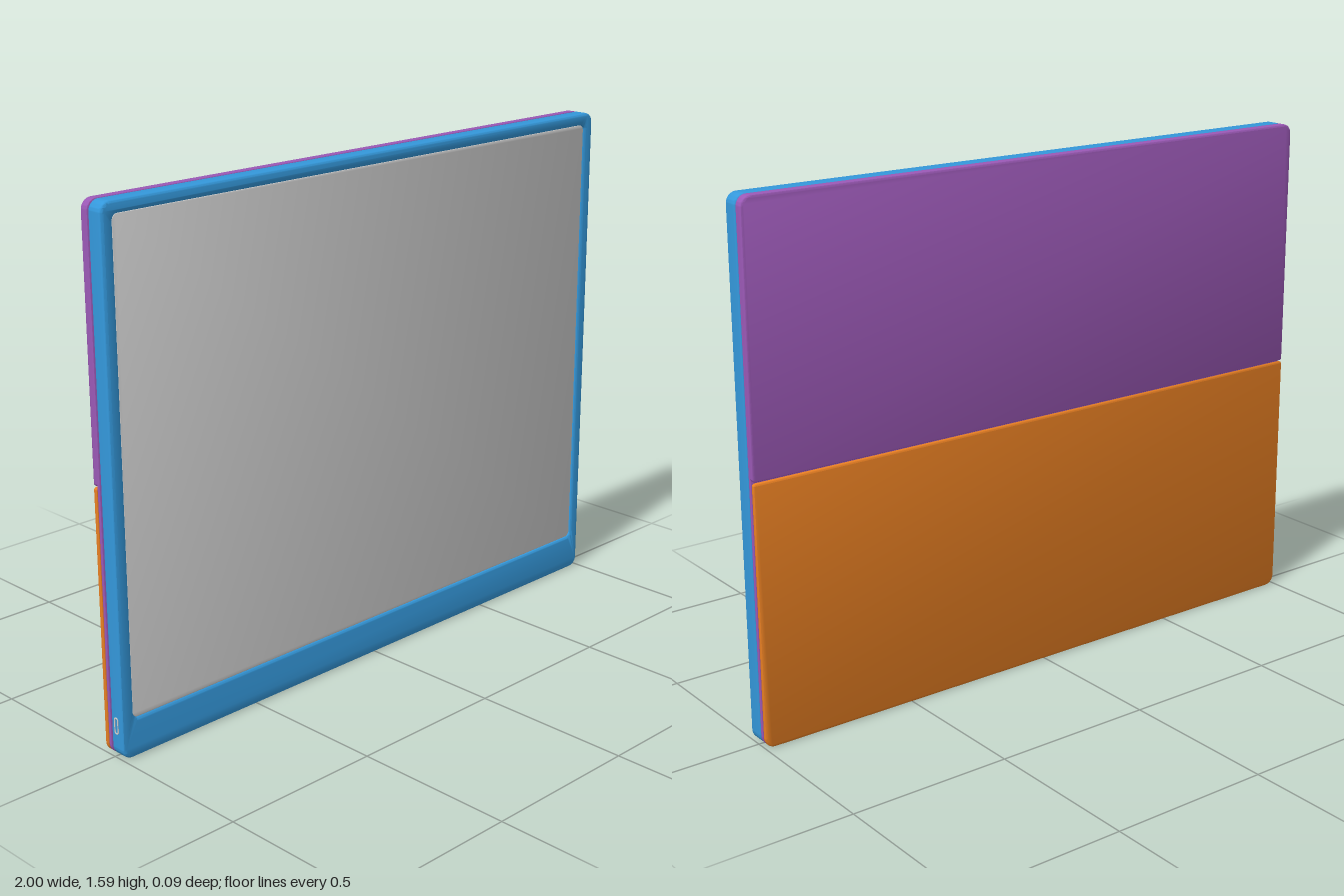
import * as THREE from 'three';
import { toCreasedNormals } from 'three/addons/utils/BufferGeometryUtils.js';

const W = 1, H = 1.587; // half width and full height

// Rectangle outline with separate top and bottom corner radii
function outline(target, x0, y0, x1, y1, rTop, rBottom = rTop) {
  target.moveTo(x0 + rBottom, y0);
  target.lineTo(x1 - rBottom, y0);
  target.absarc(x1 - rBottom, y0 + rBottom, rBottom, -Math.PI / 2, 0);
  target.lineTo(x1, y1 - rTop);
  target.absarc(x1 - rTop, y1 - rTop, rTop, 0, Math.PI / 2);
  target.lineTo(x0 + rTop, y1);
  target.absarc(x0 + rTop, y1 - rTop, rTop, Math.PI / 2, Math.PI);
  target.lineTo(x0, y0 + rBottom);
  target.absarc(x0 + rBottom, y0 + rBottom, rBottom, Math.PI, Math.PI * 1.5);
  return target;
}

// Plate between z0 and z1 whose rounded edges stay inside the outline
function plate(name, color, shape, z0, z1, bevel) {
  const geo = new THREE.ExtrudeGeometry(shape, {
    depth: z1 - z0 - 2 * bevel,
    bevelThickness: bevel,
    bevelSize: bevel,
    bevelOffset: -bevel,
    bevelSegments: 4,
    curveSegments: 8,
  });
  geo.translate(0, 0, z0 + bevel);
  const mesh = new THREE.Mesh(toCreasedNormals(geo, 0.6), new THREE.MeshStandardMaterial({ color }));
  mesh.name = name;
  return mesh;
}

export function createModel() {
  const group = new THREE.Group();
  group.name = 'portableMonitor';
  const blue = 0x3498db, purple = 0x9b59b6, orange = 0xe67e22, grey = 0xcccccc;

  // Front housing with an opening for the display
  const frame = outline(new THREE.Shape(), -W, 0, W, H, 0.032);
  frame.holes.push(outline(new THREE.Path(), -0.96, 0.118, 0.96, 1.55, 0.018));
  group.add(plate('frame', blue, frame, -0.013, 0.043, 0.01));

  // Display panel, set slightly below the frame
  const screen = outline(new THREE.Shape(), -0.96, 0.118, 0.96, 1.55, 0.018);
  group.add(plate('screen', grey, screen, -0.012, 0.037, 0.002));

  // Back cover: thin sheet over the full height, thick upper half
  const sheet = outline(new THREE.Shape(), -W, 0, W, H, 0.032);
  group.add(plate('backCoverSheet', purple, sheet, -0.025, -0.014, 0.003));
  const upper = outline(new THREE.Shape(), -W, 0.8, W, H, 0.004, 0.032);
  // rounded corners at the top, nearly square along the hinge line
  const upperShape = outline(new THREE.Shape(), -W, 0.8, W, H, 0.032, 0.008);
  group.add(plate('backCoverUpper', purple, upperShape, -0.043, -0.014, 0.007));

  // Folding stand lying flat against the lower half
  const stand = outline(new THREE.Shape(), -W, 0, W, 0.796, 0.008, 0.032);
  group.add(plate('foldingStand', orange, stand, -0.043, -0.027, 0.006));

  // Small connector on the side of the housing
  const port = outline(new THREE.Shape(), -0.009, -0.026, 0.009, 0.026, 0.0088);
  port.holes.push(outline(new THREE.Path(), -0.005, -0.022, 0.005, 0.022, 0.0048));
  const socket = plate('sidePort', grey, port, -0.004, 0.002, 0.0005);
  socket.rotation.y = -Math.PI / 2;
  socket.position.set(-W, 0.1, 0.013);
  group.add(socket);

  return group;
}
